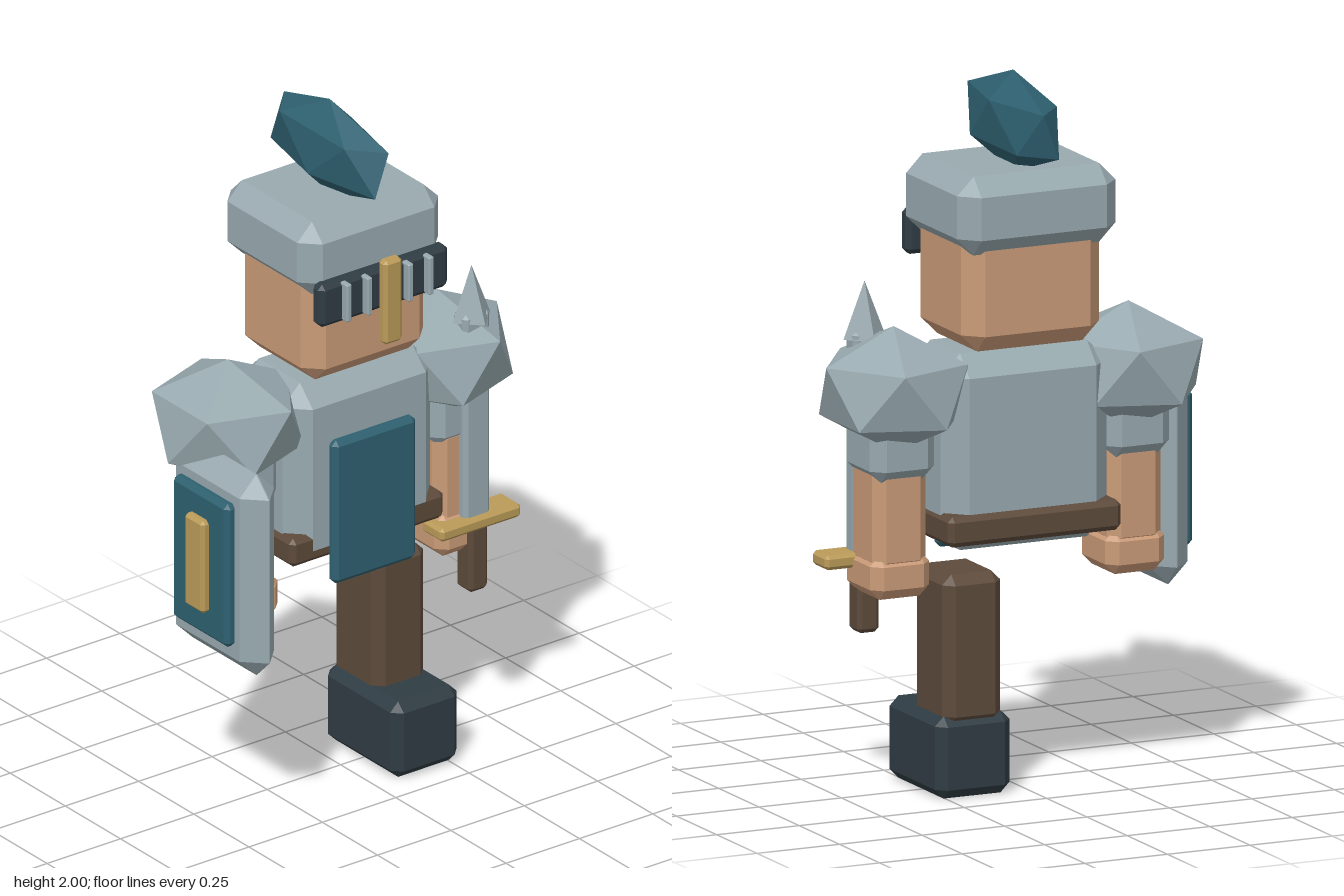
import * as THREE from 'three';
import { ConvexGeometry } from 'three/addons/geometries/ConvexGeometry.js';

const material = (name, color) => {
  const m = new THREE.MeshStandardMaterial({ color });
  m.name = name;
  return m;
};

// Box with flat chamfered edges, given by its extents on each axis
function chamferBox([x0, x1], [y0, y1], [z0, z1], c) {
  const h = [(x1 - x0) / 2, (y1 - y0) / 2, (z1 - z0) / 2];
  c = Math.min(c, 0.97 * Math.min(...h));
  const points = [];
  for (const sx of [-1, 1]) for (const sy of [-1, 1]) for (const sz of [-1, 1]) {
    for (let outer = 0; outer < 3; outer++) {
      const p = h.map((v, i) => (i === outer ? v : v - c));
      points.push(new THREE.Vector3(sx * p[0], sy * p[1], sz * p[2]));
    }
  }
  return new ConvexGeometry(points).translate((x0 + x1) / 2, (y0 + y1) / 2, (z0 + z1) / 2);
}

// Icosahedron standing on a pole: two poles and two staggered rings of five
function poleIcosahedron(cx, cy, cz, rx, ry, rz) {
  const points = [new THREE.Vector3(0, 1, 0), new THREE.Vector3(0, -1, 0)];
  const y = 1 / Math.sqrt(5), r = 2 / Math.sqrt(5);
  for (let i = 0; i < 5; i++) {
    const a = (i * Math.PI * 2) / 5;
    points.push(new THREE.Vector3(r * Math.cos(a), y, r * Math.sin(a)));
    points.push(new THREE.Vector3(-r * Math.cos(a), -y, r * Math.sin(a)));
  }
  const radii = new THREE.Vector3(rx, ry, rz);
  return new ConvexGeometry(points.map((p) => p.multiply(radii))).translate(cx, cy, cz);
}

export function createModel() {
  const steel = material('steel', 0x98a9af);
  const skin = material('skin', 0xc99a77);
  const dark = material('dark iron', 0x2f3c43);
  const teal = material('teal cloth', 0x2e6070);
  const gold = material('gold', 0xba9a58);
  const brown = material('brown leather', 0x5d4a3b);

  const model = new THREE.Group();
  model.name = 'knight';
  const add = (name, geometry, mat, parent = model) => {
    const mesh = new THREE.Mesh(geometry, mat);
    mesh.name = name;
    parent.add(mesh);
    return mesh;
  };
  const box = (name, mat, x, y, z, c, parent) => add(name, chamferBox(x, y, z, c), mat, parent);
  const group = (name) => {
    const g = new THREE.Group();
    g.name = name;
    model.add(g);
    return g;
  };
  const mid = 0.012; // centre line of the body

  // Head and helmet
  const head = group('headGroup');
  box('head', skin, [-0.197, 0.221], [1.25, 1.62], [-0.22, 0.13], 0.05, head);
  box('helmet', steel, [-0.228, 0.252], [1.53, 1.75], [-0.26, 0.157], 0.05, head);
  box('visor', dark, [-0.208, 0.232], [1.46, 1.59], [0.14, 0.188], 0.015, head);
  for (const dx of [-0.14, -0.07, 0.07, 0.14]) {
    box('visorBar', steel, [mid + dx - 0.009, mid + dx + 0.009], [1.47, 1.585], [0.178, 0.212], 0.004, head);
  }
  box('noseGuard', gold, [mid - 0.031, mid + 0.031], [1.37, 1.625], [0.192, 0.228], 0.01, head);
  add('plume', poleIcosahedron(mid - 0.002, 1.858, -0.063, 0.083, 0.142, 0.279), teal, head);

  // Body
  const body = group('body');
  box('torso', steel, [-0.24, 0.264], [0.69, 1.24], [-0.19, 0.115], 0.06, body);
  box('belt', brown, [-0.252, 0.272], [0.715, 0.8], [-0.207, 0.115], 0.015, body);
  box('tabard', teal, [-0.13, 0.154], [0.64, 1.075], [0.108, 0.147], 0.015, body);

  // Arms and shoulder pads
  for (const side of [1, -1]) {
    const arm = group(side > 0 ? 'leftArm' : 'rightArm');
    const x = mid + side * 0.356;
    const span = (w) => [x - w / 2, x + w / 2];
    add('shoulderPad', poleIcosahedron(x, 1.14, -0.053, 0.228, 0.177, 0.239), steel, arm);
    box('sleeve', steel, span(0.195), [0.895, 1.2], [-0.14, 0.07], 0.035, arm);
    box('forearm', skin, span(0.162), [0.64, 0.95], [-0.115, 0.062], 0.03, arm);
    box('hand', skin, span(0.18), [0.565, 0.69], [-0.12, 0.083], 0.03, arm);
  }

  // Shield on the right arm
  const shield = group('shield');
  box('shieldBody', steel, [-0.525, -0.407], [0.51, 1.12], [-0.105, 0.297], 0.058, shield);
  box('shieldPanel', teal, [-0.555, -0.515], [0.605, 1.04], [-0.03, 0.222], 0.014, shield);
  box('shieldBoss', gold, [-0.577, -0.545], [0.685, 0.965], [0.055, 0.141], 0.01, shield);

  // Sword in the left hand
  const sword = group('sword');
  box('blade', steel, [0.357, 0.447], [0.65, 1.29], [0.028, 0.09], 0.012, sword);
  const tip = new THREE.ConeGeometry(0.064, 0.16, 4).toNonIndexed();
  tip.computeVertexNormals();
  add('bladeTip', tip.translate(0.402, 1.345, 0.058), steel, sword);
  box('crossGuard', gold, [0.265, 0.54], [0.635, 0.676], [0.012, 0.106], 0.01, sword);
  box('grip', brown, [0.369, 0.435], [0.445, 0.65], [0.026, 0.096], 0.012, sword);

  // Leg and boot
  const leg = group('leg');
  box('trouserLeg', brown, [0.08, 0.256], [0.2, 0.623], [-0.153, 0.06], 0.028, leg);
  box('boot', dark, [0.054, 0.28], [0, 0.23], [-0.156, 0.18], 0.027, leg);

  return model;
}
